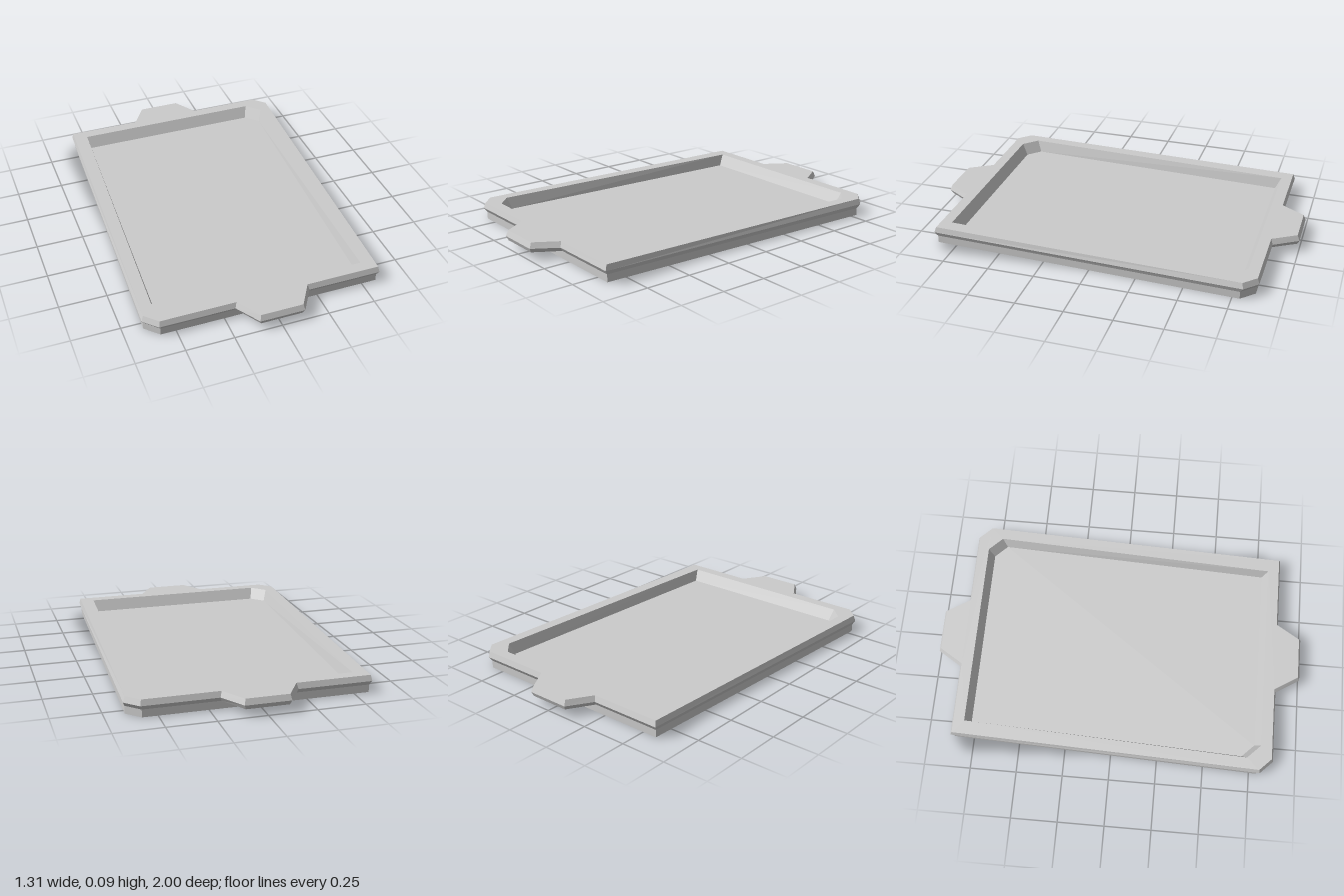
import * as THREE from 'three';

const material = new THREE.MeshStandardMaterial({ color: 0xcccccc, flatShading: true });

// Rectangle with cut corners, counter-clockwise from above; handle = [root, tip, end]
function outline(hx, hz, cut, handle) {
  const half = [[hx, -(hz - cut)], [hx, hz - cut], [hx - cut, hz]];
  if (handle) {
    const [root, tip, end] = handle;
    half.push([root, hz], [tip, end], [-tip, end], [-root, hz]);
  }
  half.push([-(hx - cut), hz]);
  // The other half is the same points turned by 180 degrees
  const pts = [...half.slice(1), ...half.slice(1).map(([x, y]) => [-x, -y])];
  // half[0] is supplied by the turned copy
  return pts.map(([x, y]) => new THREE.Vector2(x, y));
}

// Flat-faced wall joining two matching outlines at two heights
function wall(a, ya, b, yb) {
  const pos = [];
  const put = (p, y) => pos.push(p.x, y, -p.y);
  for (let i = 0; i < a.length; i++) {
    const j = (i + 1) % a.length;
    put(a[i], ya); put(a[j], ya); put(b[j], yb);
    put(a[i], ya); put(b[j], yb); put(b[i], yb);
  }
  const g = new THREE.BufferGeometry();
  g.setAttribute('position', new THREE.Float32BufferAttribute(pos, 3));
  g.computeVertexNormals();
  return g;
}

// Horizontal face, looking up or down
function cap(points, y, up = true, hole) {
  const shape = new THREE.Shape(points);
  if (hole) shape.holes.push(new THREE.Path(hole));
  return new THREE.ShapeGeometry(shape).rotateX(up ? -Math.PI / 2 : Math.PI / 2).translate(0, y, 0);
}

export function createModel() {
  const group = new THREE.Group();
  const add = (name, geometry) => {
    const mesh = new THREE.Mesh(geometry, material);
    mesh.name = name;
    group.add(mesh);
    return mesh;
  };

  const yFloor = 0.03, yLip = 0.04, yMid = 0.063, yTop = 0.093;
  const lowHandle = [0.19, 0.11, 0.99];

  // Base block
  const base = outline(0.647, 0.857, 0.068);
  add('baseBottom', cap(base, 0, false));
  add('baseSide', wall(base, 0, base, yLip));

  // Bulging rim that runs out into the two handles
  const low = outline(0.647, 0.857, 0.068, lowHandle);
  const mid = outline(0.657, 0.872, 0.068, [0.198, 0.118, 1.0]);
  const top = outline(0.647, 0.862, 0.064, [0.19, 0.112, 0.988]);
  add('rimLowerEdge', wall(low, yLip, mid, yMid));
  add('rimUpperEdge', wall(mid, yMid, top, yTop));

  // Recessed well with sloping sides
  const opening = outline(0.585, 0.803, 0.073);
  const floor = outline(0.565, 0.772, 0.066);
  add('rimTop', cap(top, yTop, true, opening));
  add('wellSide', wall(opening, yTop, floor, yFloor));
  add('wellFloor', cap(floor, yFloor));

  // Undersides of the handles
  const [root, tip, end] = lowHandle;
  const under = [[-root, 0.857], [root, 0.857], [tip, end], [-tip, end]]
    .map(([x, y]) => new THREE.Vector2(x, y));
  add('frontHandleUnderside', cap(under, yLip, false));
  add('backHandleUnderside', cap(under, yLip, false)).rotation.y = Math.PI;

  return group;
}
